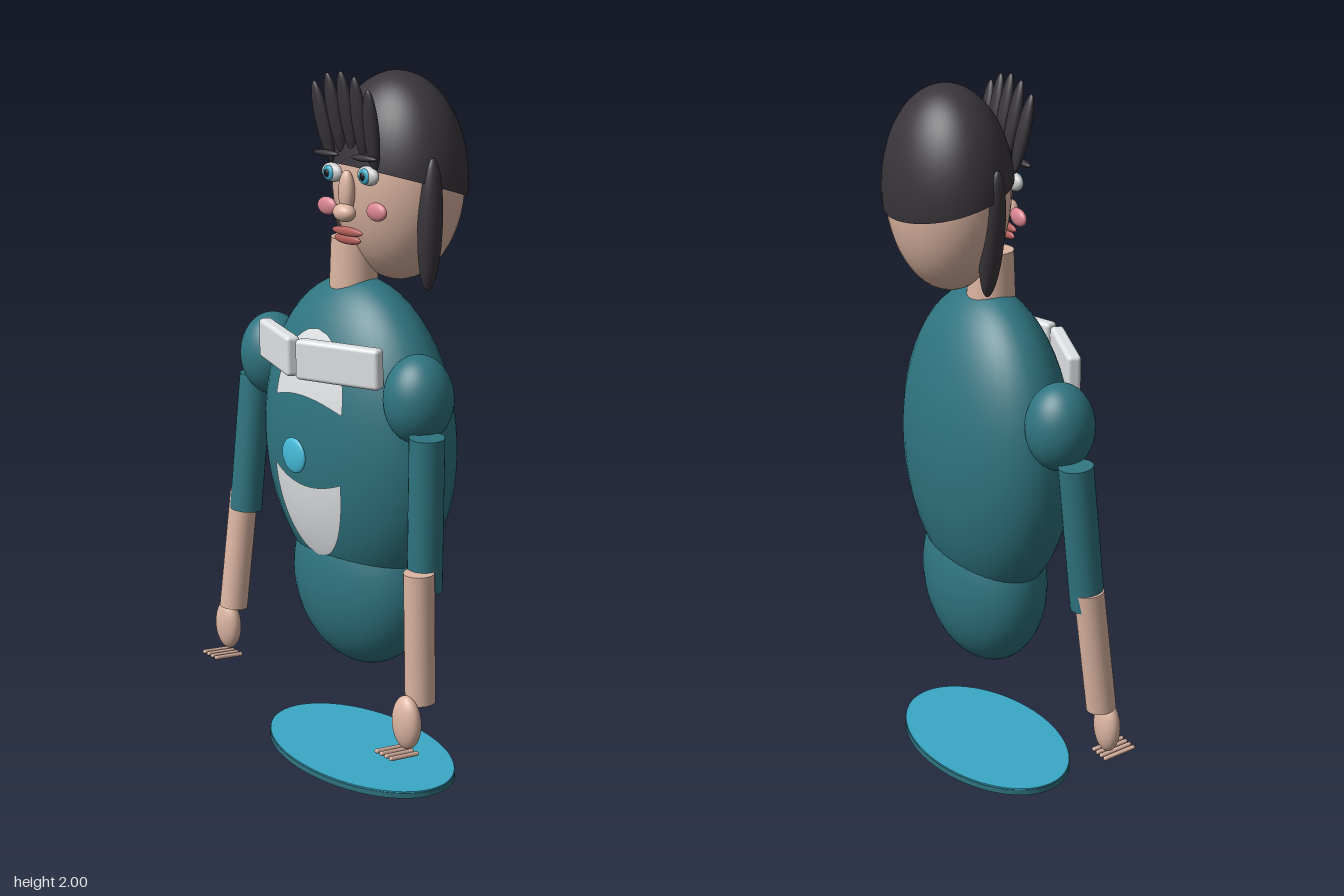
import * as THREE from 'three';
import { RoundedBoxGeometry } from 'three/addons/geometries/RoundedBoxGeometry.js';
import { ParametricGeometry } from 'three/addons/geometries/ParametricGeometry.js';

const mat = (color, side = THREE.FrontSide) => new THREE.MeshStandardMaterial({ color, side });
const teal = mat(0x2f7480), skin = mat(0xdcb5a2), hair = mat(0x39353b, THREE.DoubleSide);
const white = mat(0xdfe2e4, THREE.DoubleSide), cyan = mat(0x45bbd8), blue = mat(0x3aa8c6);
const pink = mat(0xd98590), lip = mat(0xb5605c), black = mat(0x15151a), eyeWhite = mat(0xf2f2f2);

export function createModel() {
  const model = new THREE.Group();
  const add = (name, geometry, material, pos = [0, 0, 0], rot = [0, 0, 0]) => {
    const mesh = new THREE.Mesh(geometry, material);
    mesh.name = name;
    mesh.position.set(...pos);
    mesh.rotation.set(...rot);
    model.add(mesh);
    return mesh;
  };
  const ball = (name, material, pos, radii, rot) =>
    add(name, new THREE.SphereGeometry(1, 40, 28).scale(...radii), material, pos, rot);
  // Cylinder between two points
  const limb = (name, material, a, b, r) => {
    const p = new THREE.Vector3(...a), q = new THREE.Vector3(...b);
    const mesh = add(name, new THREE.CylinderGeometry(r, r, p.distanceTo(q), 28), material);
    mesh.position.copy(p).lerp(q, 0.5);
    mesh.quaternion.setFromUnitVectors(new THREE.Vector3(0, 1, 0), p.sub(q).normalize());
  };

  // Base disc with a bright top
  add('baseDisc', new THREE.CylinderGeometry(1, 1, 0.016, 64).scale(0.345, 1, 0.208), teal, [0.045, 0.008, 0.005]);
  add('baseTop', new THREE.CylinderGeometry(1, 1, 0.004, 64).scale(0.343, 1, 0.206), blue, [0.045, 0.018, 0.005]);

  // Body
  const C = [0.03, 0.97, 0], R = [0.35, 0.46, 0.2];
  ball('torso', teal, C, R);
  ball('pelvis', teal, [0.045, 0.56, 0], [0.25, 0.262, 0.155]);
  add('neck', new THREE.CylinderGeometry(0.063, 0.068, 0.14, 32), skin, [0.013, 1.465, 0.005]);

  // Shirt panels that follow the curve of the torso
  const panel = (name, yTip, yEdge) => {
    const geo = new ParametricGeometry((u, v, out) => {
      const s = 2 * u - 1;
      const dx = s * 0.145 * Math.sqrt(1 - (1 - v) ** 2);
      const y = yTip + (yEdge - yTip) * v * (1 - 0.13 * (1 - s * s) * v);
      const z = R[2] * Math.sqrt(Math.max(0, 1 - (dx / R[0]) ** 2 - ((y - C[1]) / R[1]) ** 2));
      out.set(C[0] + dx, y, z + 0.004);
    }, 24, 24);
    add(name, geo, white);
  };
  panel('lowerShirtPanel', 0.645, 0.895);
  panel('upperShirtPanel', 1.3, 1.09);

  // Collar bars and chest button
  const bar = new RoundedBoxGeometry(0.262, 0.112, 0.04, 4, 0.012);
  add('rightCollar', bar, white, [-0.11, 1.225, 0.172], [0, -0.34, 0.03]);
  add('leftCollar', bar, white, [0.157, 1.232, 0.172], [0, 0.34, 0.02]);
  ball('chestButton', cyan, [0.03, 0.955, 0.23], [0.05, 0.05, 0.012]);

  // Arms: shoulder, elbow ends, wrist, hand and finger base
  const arms = [
    { side: 'right', shoulder: [-0.347, 1.132, 0.017], upper: [[-0.435, 1.05, 0.015], [-0.441, 0.635, 0.055]],
      fore: [[-0.455, 0.687, 0.05], [-0.457, 0.325, 0.095]], hand: [-0.465, 0.268, 0.11], finger: [-0.455, 0.183, 0.14] },
    { side: 'left', shoulder: [0.352, 1.157, 0.058], upper: [[0.436, 1.08, 0.1], [0.43, 0.65, 0.097]],
      fore: [[0.452, 0.715, 0.137], [0.458, 0.345, 0.133]], hand: [0.457, 0.295, 0.18], finger: [0.45, 0.212, 0.208] },
  ];
  for (const a of arms) {
    ball(a.side + 'Shoulder', teal, a.shoulder, [0.096, 0.122, 0.095]);
    limb(a.side + 'UpperArm', teal, ...a.upper, 0.048);
    limb(a.side + 'Forearm', skin, ...a.fore, 0.042);
    ball(a.side + 'Hand', skin, a.hand, [0.05, 0.077, 0.031]);
    for (let i = 0; i < 4; i++) {
      const [x, y, z] = a.finger;
      add(a.side + 'Finger', new THREE.CapsuleGeometry(0.0065, 0.09, 4, 10), skin,
        [x + (i - 1.5) * 0.02, y, z], [Math.PI / 2 - 0.13, 0, 0]);
    }
  }

  // Head and a tilted hair cap
  const H = [0.088, 1.7, -0.088];
  ball('head', skin, H, [0.204, 0.282, 0.164]);
  const cap = new THREE.SphereGeometry(1, 48, 28, 0, Math.PI * 2, 0, Math.PI / 2 + 0.03);
  cap.rotateX(-0.195).scale(0.215, 0.287, 0.172);
  add('hairCap', cap, hair, H);
  ball('rightSideLock', hair, [-0.085, 1.605, -0.045], [0.033, 0.183, 0.034], [0, 0, 0.16]);
  ball('leftSideLock', hair, [0.276, 1.602, -0.042], [0.033, 0.18, 0.034], [0, 0, -0.04]);

  // Fringe strands, tips leaning forward
  for (let i = 0; i < 5; i++) {
    const t = i - 2;
    ball('fringeStrand', hair, [0.08 + t * 0.051, 1.888 - 0.009 * t * t, 0.083],
      [0.026, 0.112, 0.016], [0.17, 0, 0.04 - t * 0.05]);
  }

  // Face
  const sides = [
    { side: 'right', eye: [0.004, 1.718], brow: [0, 1.771], cheek: [-0.018, 1.623] },
    { side: 'left', eye: [0.156, 1.729], brow: [0.16, 1.778], cheek: [0.193, 1.638] },
  ];
  for (const { side, eye, brow, cheek } of sides) {
    ball(side + 'Eye', eyeWhite, [...eye, 0.072], [0.04, 0.026, 0.018]);
    ball(side + 'Iris', blue, [...eye, 0.086], [0.021, 0.021, 0.008]);
    ball(side + 'Pupil', black, [...eye, 0.092], [0.01, 0.011, 0.005]);
    ball(side + 'Brow', hair, [...brow, 0.09], [0.052, 0.009, 0.012], [0, 0, 0.05]);
    ball(side + 'Cheek', pink, [...cheek, 0.073], [0.039, 0.025, 0.014], [0, 0, 0.06]);
  }
  ball('noseBridge', skin, [0.085, 1.677, 0.088], [0.026, 0.06, 0.02]);
  ball('noseTip', skin, [0.09, 1.624, 0.1], [0.038, 0.025, 0.026]);
  ball('upperLip', lip, [0.095, 1.573, 0.094], [0.064, 0.013, 0.01], [0, 0, 0.04]);
  ball('lowerLip', lip, [0.095, 1.552, 0.093], [0.055, 0.014, 0.01], [0, 0, 0.04]);

  return model;
}
